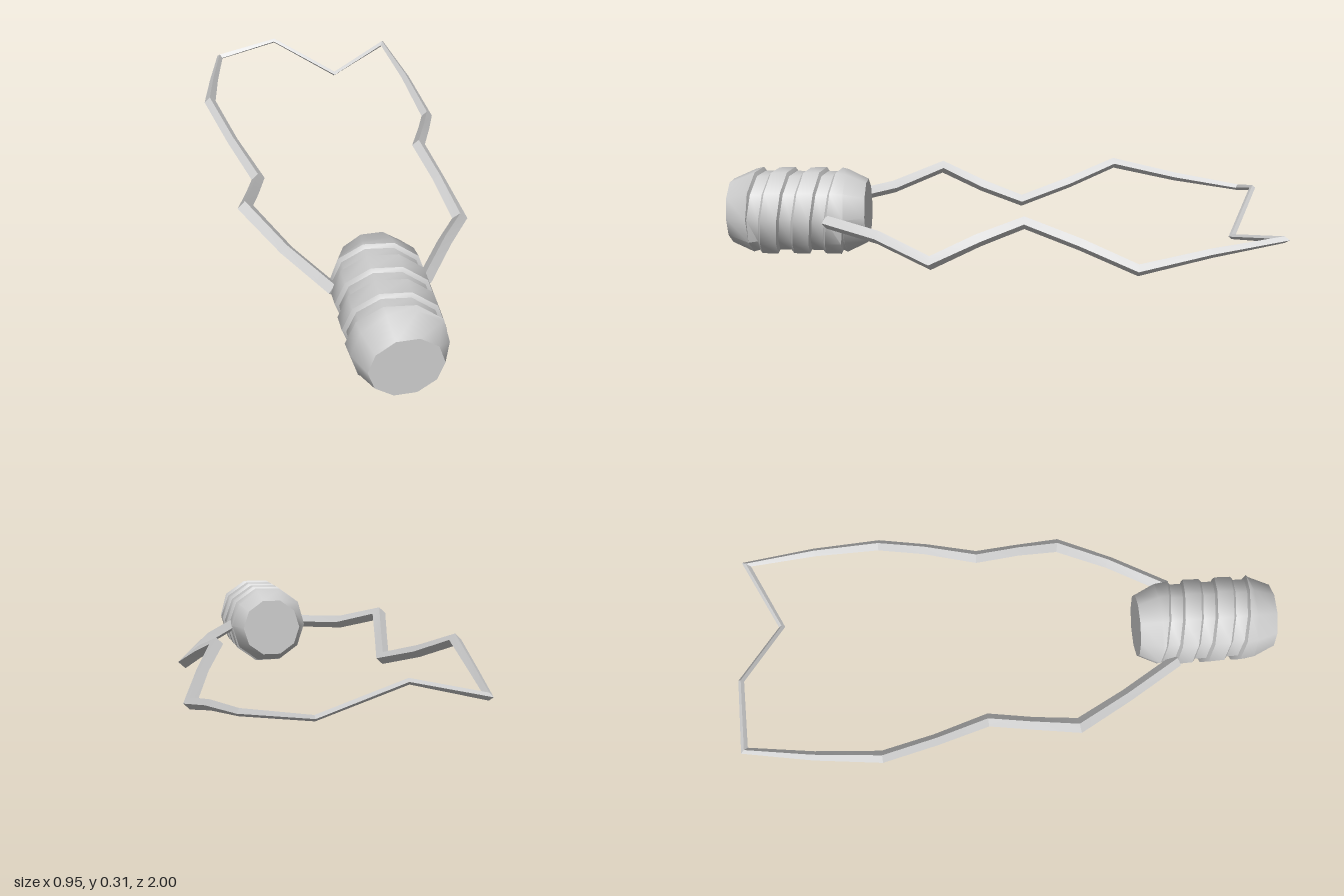
import * as THREE from 'three';
import { toCreasedNormals } from 'three/addons/utils/BufferGeometryUtils.js';

const metal = new THREE.MeshStandardMaterial({ color: 0xcccccc });
metal.name = 'plain grey';

// Skin a list of rings (counter-clockwise about the direction of travel) and cap both ends.
function loft(rings, closed, crease) {
  const pos = [];
  const tri = (a, b, c) => {
    const n = b.clone().sub(a).cross(c.clone().sub(a));
    if (n.length() > 1e-7) for (const p of [a, b, c]) pos.push(p.x, p.y, p.z);
  };
  const n = rings[0].length;
  for (let j = 0; j < rings.length - 1; j++) {
    for (let i = 0; i < (closed ? n : n - 1); i++) {
      const k = (i + 1) % n;
      const a = rings[j], b = rings[j + 1];
      tri(a[i], a[k], b[k]);
      tri(a[i], b[k], b[i]);
    }
  }
  const first = rings[0], last = rings[rings.length - 1];
  for (let i = 1; i < n - 1; i++) {
    tri(first[0], first[i + 1], first[i]);
    tri(last[0], last[i], last[i + 1]);
  }
  const g = new THREE.BufferGeometry();
  g.setAttribute('position', new THREE.Float32BufferAttribute(pos, 3));
  return toCreasedNormals(g, crease);
}

// Ten-sided barrel with chamfered ends and a screw thread around the middle
function barrelGeometry() {
  const sides = 10, pitch = 0.12, z0 = 0.565, z1 = 0.92, cy = 0.16;
  const point = (i, r, z) => {
    const a = (i / sides) * Math.PI * 2 + Math.PI / 10 * 2;
    const t = a + Math.PI / 10 - Math.PI / 5;
    // flats at top and bottom
    return new THREE.Vector3(Math.cos(t - Math.PI / 10) * r, cy + Math.sin(t - Math.PI / 10) * r, z);
  };
  const ring = (r, z) => Array.from({ length: sides + 1 }, (_, i) => point(i, r, z));
  const thread = [[0, 0.165], [0.5, 0.163], [0.58, 0.15], [0.94, 0.15]];
  const rings = [ring(0.12, 0.49), ring(0.157, z0)];
  for (let turn = -1; turn < 5; turn++) {
    for (const [phase, radius] of thread) {
      rings.push(Array.from({ length: sides + 1 }, (_, i) => {
        const z = z0 + pitch * (turn + phase - i / sides);
        const inside = z > z0 && z < z1;
        return point(i, inside ? radius : 0.157, THREE.MathUtils.clamp(z, z0, z1));
      }));
    }
  }
  rings.push(ring(0.157, z1), ring(0.121, 1));
  return loft(rings, false, 0.68);
}

// Bent bar with a tapering diamond section, mitred at each corner
function barGeometry(path) {
  const pts = path.map(p => new THREE.Vector3(p[0], p[1], p[2]));
  const up = new THREE.Vector3(0, 1, 0);
  const rings = pts.map((p, i) => {
    const before = p.clone().sub(pts[Math.max(i - 1, 0)]).normalize();
    const after = pts[Math.min(i + 1, pts.length - 1)].clone().sub(p).normalize();
    const t = before.clone().add(after).normalize();
    const side = t.clone().cross(up).normalize();
    const lift = side.clone().cross(t).normalize();
    const ref = after.length() > 0 ? after : before;
    const mitre = 1 / Math.max(0.6, t.dot(ref));
    const r = path[i][3];
    return [0, 1, 2, 3].map(k => {
      const a = k * Math.PI / 2;
      return p.clone()
        .addScaledVector(side, Math.cos(a) * r * mitre)
        .addScaledVector(lift, -Math.sin(a) * r);
    });
  });
  return loft(rings, true, 0.3);
}

export function createModel() {
  const group = new THREE.Group();
  group.name = 'wireLoopWithScrewBarrel';
  const add = (name, geometry) => {
    const mesh = new THREE.Mesh(geometry, metal);
    mesh.name = name;
    group.add(mesh);
  };

  add('threadedBarrel', barrelGeometry());

  // One arm: x, y, z and half-diagonal; the other is it turned half round the barrel axis
  const arm = [
    [-0.152, 0.165, 0.625, 0.025],
    [-0.28, 0.187, 0.42, 0.025],
    [-0.395, 0.245, 0.23, 0.025],
    [-0.355, 0.175, 0.065, 0.024],
    [-0.315, 0.122, -0.095, 0.023],
    [-0.39, 0.18, -0.29, 0.022],
    [-0.455, 0.25, -0.48, 0.021],
    [-0.42, 0.2, -0.73, 0.017],
    [-0.372, 0.165, -0.987, 0.012],
  ];
  const otherArm = arm.map(([x, y, z, r]) => [-x, 0.32 - y, z, r]).reverse();
  // Crooked crossbar between the arms
  const crossbar = [[-0.125, 0.222, -0.987, 0.01], [0.125, 0.095, -0.862, 0.01]];
  add('bentWireLoop', barGeometry([...arm, ...crossbar, ...otherArm]));

  return group;
}
